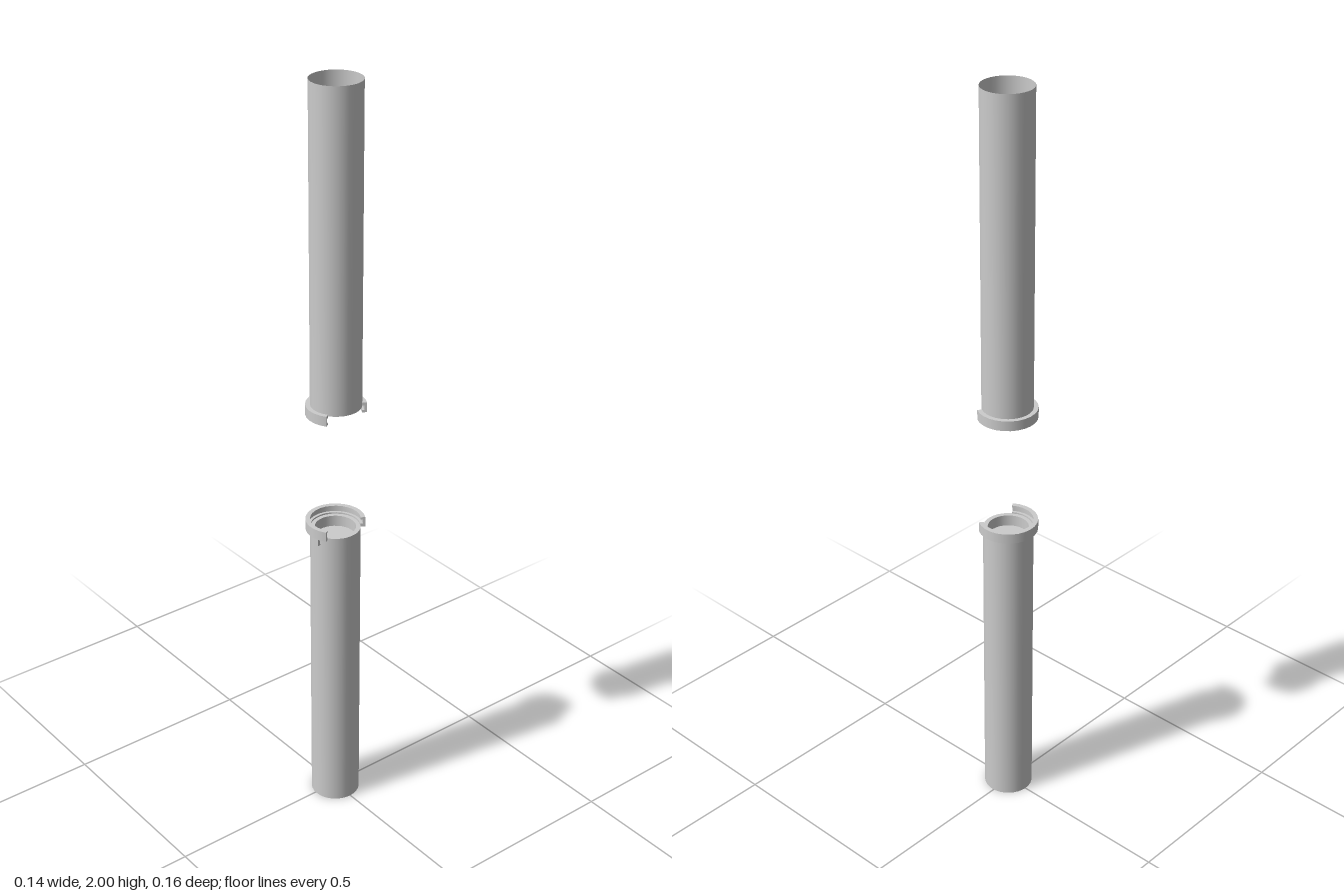
import * as THREE from 'three';
import { mergeGeometries } from 'three/addons/utils/BufferGeometryUtils.js';

const material = new THREE.MeshStandardMaterial({ color: 0xcccccc, side: THREE.DoubleSide });
const rad = THREE.MathUtils.degToRad;

// Lathe with a sharp crease at every profile point
function creasedLathe(profile, segments, start = 0, length = Math.PI * 2) {
  const bands = [];
  for (let i = 0; i < profile.length - 1; i++) {
    const pair = [profile[i], profile[i + 1]].map(([r, y]) => new THREE.Vector2(r, y));
    bands.push(new THREE.LatheGeometry(pair, segments, start, length));
  }
  return mergeGeometries(bands);
}

function addMesh(group, name, geometry) {
  const mesh = new THREE.Mesh(geometry, material);
  mesh.name = name;
  group.add(mesh);
  return mesh;
}

// One pipe, opening upward, with its coupling at the lower end
function createPipe(name) {
  const pipe = new THREE.Group();
  pipe.name = name;
  const end = 1.173, top = 2;

  // Thin open tube
  addMesh(pipe, 'tube', creasedLathe([[0.065, end], [0.065, top]], 32));

  // Seat at the coupling end, closed by a recessed disc
  addMesh(pipe, 'seat', creasedLathe(
    [[0.065, end], [0.053, end], [0.053, end + 0.03], [0, end + 0.03]], 32));

  // C-shaped claw: channel section swept around the -x side
  const section = [
    [0.064, 1.177], [0.077, 1.177], [0.077, 1.15], [0.065, 1.15],
    [0.065, 1.156], [0.071, 1.156], [0.071, 1.169], [0.064, 1.169],
  ];
  const start = rad(146), sweep = rad(248);
  addMesh(pipe, 'claw', creasedLathe([...section, section[0]], 18, start, sweep));

  // Flat ends of the claw
  const shape = new THREE.Shape(section.map(([r, y]) => new THREE.Vector2(r, y)));
  for (const angle of [start, start + sweep]) {
    addMesh(pipe, 'clawEnd', new THREE.ShapeGeometry(shape)).rotation.y = angle - Math.PI / 2;
  }
  return pipe;
}

export function createModel() {
  const model = new THREE.Group();
  model.name = 'pipeCoupling';

  const upper = createPipe('upperPipe');
  upper.position.set(0.005, 0, -0.001);
  model.add(upper);

  // The lower pipe is the same part turned over
  const lower = createPipe('lowerPipe');
  lower.rotation.x = Math.PI;
  lower.position.set(0.005, 2, 0.001);
  model.add(lower);

  // Small latch stop on the lower pipe
  const stop = addMesh(model, 'latchStop', new THREE.BoxGeometry(0.014, 0.022, 0.008));
  stop.position.set(0.015, 0.812, 0.066);
  return model;
}
